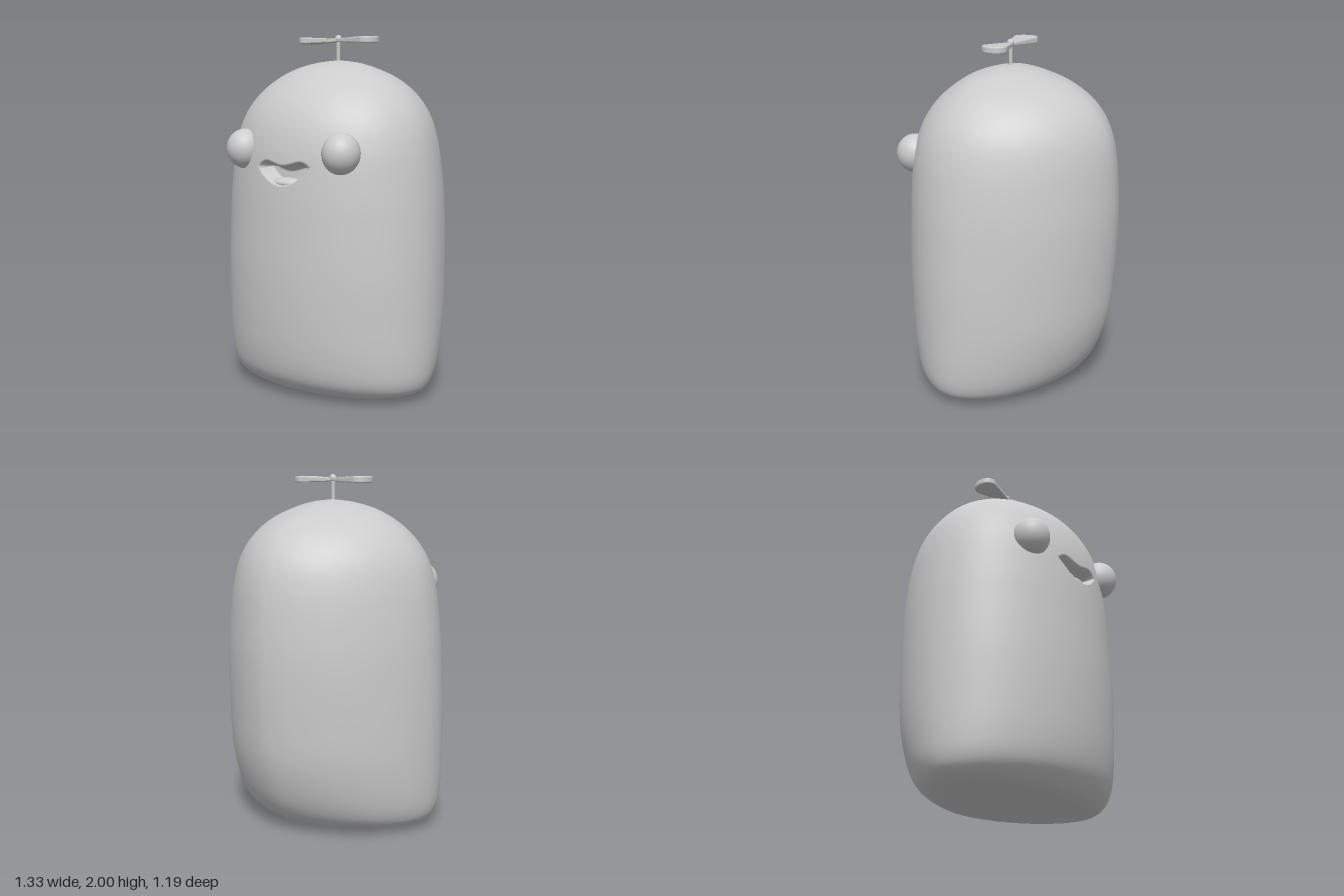
import * as THREE from 'three';

const grey = () => new THREE.MeshStandardMaterial({ color: 0xcccccc });

function add(parent, name, geometry, x = 0, y = 0, z = 0) {
  const mesh = new THREE.Mesh(geometry, grey());
  mesh.name = name;
  mesh.position.set(x, y, z);
  parent.add(mesh);
  return mesh;
}

// Body sections from bottom to top: height, half width, front z, back z
const SECTIONS = [
  [0, 0, 0.13, 0.13], [0.005, 0.3, 0.28, -0.12], [0.02, 0.5, 0.41, -0.26],
  [0.05, 0.597, 0.47, -0.34], [0.12, 0.64, 0.53, -0.425], [0.25, 0.657, 0.565, -0.5],
  [0.45, 0.663, 0.585, -0.56], [0.7, 0.662, 0.595, -0.585], [0.95, 0.652, 0.593, -0.597],
  [1.15, 0.637, 0.588, -0.594], [1.38, 0.604, 0.57, -0.573], [1.54, 0.555, 0.525, -0.53],
  [1.66, 0.475, 0.45, -0.45], [1.75, 0.37, 0.35, -0.33], [1.81, 0.25, 0.25, -0.19],
  [1.845, 0.13, 0.14, -0.07], [1.86, 0, 0.045, 0.045],
];
const MOUTH_SECTION = 9; // the span that holds the mouth gets finer rings

// Catmull-Rom blend between neighbouring sections
function sectionAt(i, t) {
  const at = (k) => SECTIONS[THREE.MathUtils.clamp(k, 0, SECTIONS.length - 1)];
  const [p, q, r, s] = [at(i - 1), at(i), at(i + 1), at(i + 2)];
  return q.map((v, k) => v + 0.5 * t * (r[k] - p[k] +
    t * (2 * p[k] - 5 * v + 4 * r[k] - s[k] + t * (3 * (v - r[k]) + s[k] - p[k]))));
}

// Depth of the smiling mouth hollow at a point on the front
function mouthDepth(x, y) {
  const a = (x / 0.165) ** 2;
  if (a >= 1) return 0;
  const upper = 1.308 + 0.1 * a - 0.113 * a * a;
  const lower = 1.197 + 0.098 * a;
  return 0.09 * THREE.MathUtils.smoothstep(upper - y, 0, 0.04) *
    THREE.MathUtils.smoothstep(y - lower, 0, 0.014);
}

function bodyGeometry() {
  const around = 144, positions = [], index = [];
  let rings = 0;
  const addRing = ([y, w, front, back]) => {
    const zMid = back + (front - back) * 0.575;
    for (let j = 0; j < around; j++) {
      // Columns crowd together toward the front, around the mouth
      const u = (j / around) * Math.PI * 2 - Math.PI;
      const angle = u - 0.75 * Math.sin(u);
      const s = Math.sin(angle), c = Math.cos(angle);
      // Round at the front, tapering at the back
      const power = c > 0 ? 1 : 2 / 1.75;
      const x = w * Math.sign(s) * Math.abs(s) ** power;
      let z = zMid + (c > 0 ? front - zMid : back - zMid) * Math.abs(c) ** power;
      if (c > 0) z -= mouthDepth(x, y);
      positions.push(x, Math.max(0, y), z);
    }
    rings++;
  };
  for (let i = 0; i < SECTIONS.length - 1; i++) {
    const steps = i === MOUTH_SECTION ? 40 : 5;
    for (let k = 0; k < steps; k++) addRing(sectionAt(i, k / steps));
  }
  addRing(SECTIONS[SECTIONS.length - 1]);

  for (let i = 0; i < rings - 1; i++) {
    for (let j = 0; j < around; j++) {
      const n = (j + 1) % around;
      const a = i * around + j, b = i * around + n;
      index.push(a, b, b + around, a, b + around, a + around);
    }
  }
  const geometry = new THREE.BufferGeometry();
  geometry.setAttribute('position', new THREE.Float32BufferAttribute(positions, 3));
  geometry.setIndex(index);
  geometry.computeVertexNormals();
  return geometry;
}

// Bow-tie blade pair, thin at the hub and thicker at the tips
function bladesGeometry() {
  const shape = new THREE.Shape();
  shape.moveTo(0, -0.012);
  shape.lineTo(0.195, -0.066);
  shape.bezierCurveTo(0.27, -0.066, 0.27, 0.066, 0.195, 0.066);
  shape.lineTo(0, 0.012);
  shape.lineTo(-0.195, 0.066);
  shape.bezierCurveTo(-0.27, 0.066, -0.27, -0.066, -0.195, -0.066);
  shape.closePath();
  const geometry = new THREE.ExtrudeGeometry(shape, {
    depth: 0.02, bevelThickness: 0.008, bevelSize: 0.005, bevelSegments: 3, curveSegments: 14,
  });
  geometry.translate(0, 0, -0.01).rotateX(Math.PI / 2);
  const p = geometry.attributes.position;
  for (let i = 0; i < p.count; i++) {
    p.setY(i, p.getY(i) * (0.5 + 0.5 * Math.min(1, Math.abs(p.getX(i)) / 0.19)));
  }
  geometry.computeVertexNormals();
  return geometry;
}

export function createModel() {
  const model = new THREE.Group();
  model.name = 'propellerCreature';

  add(model, 'body', bodyGeometry());
  add(model, 'tongue', new THREE.SphereGeometry(1, 32, 20).scale(0.1, 0.03, 0.055), 0, 1.207, 0.522);

  // Eyes: slightly egg-shaped, set halfway into the body
  for (const [side, name] of [[1, 'leftEye'], [-1, 'rightEye']]) {
    const eye = add(model, name, new THREE.SphereGeometry(1, 32, 24).scale(0.102, 0.11, 0.105),
      side * 0.322, 1.375, 0.49);
    eye.rotation.z = -side * 0.1;
  }

  // Propeller on top of the head
  const propeller = new THREE.Group();
  propeller.name = 'propeller';
  propeller.position.z = 0.048;
  model.add(propeller);
  add(propeller, 'stem', new THREE.CylinderGeometry(0.011, 0.011, 0.14, 16), 0, 1.9, 0);
  add(propeller, 'blades', bladesGeometry(), 0, 1.971, 0);
  add(propeller, 'hub', new THREE.SphereGeometry(0.02, 20, 14), 0, 1.98, 0);
  return model;
}
